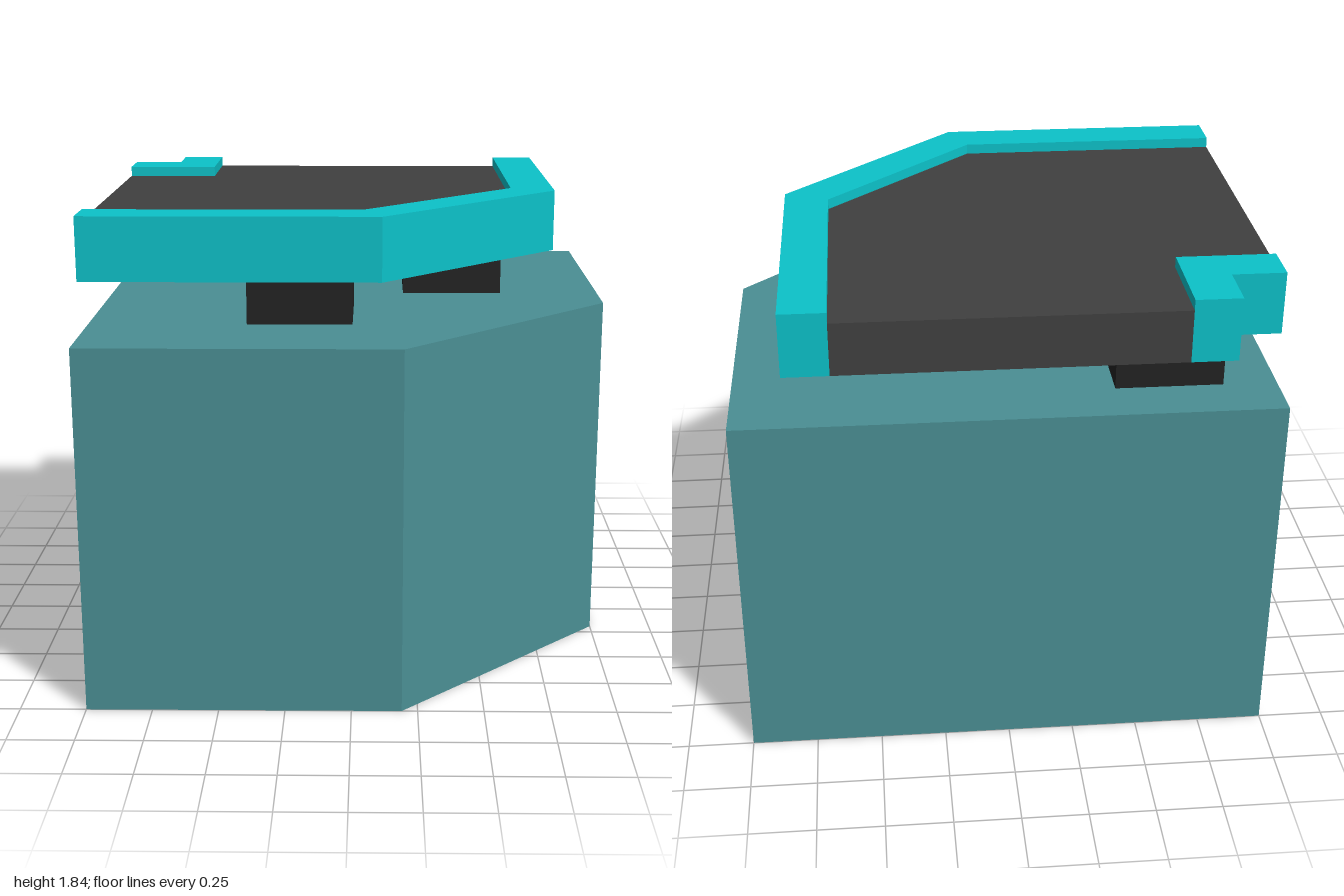
import * as THREE from 'three';

const material = (name, color) => {
  const m = new THREE.MeshStandardMaterial({ color, side: THREE.DoubleSide });
  m.name = name;
  return m;
};

// Vertical sheet along a path of [x, z] points, facing right of travel
function wall(path, y0, y1) {
  const pos = [];
  for (let i = 0; i + 1 < path.length; i++) {
    const [ax, az] = path[i], [bx, bz] = path[i + 1];
    pos.push(ax, y0, az, bx, y0, bz, bx, y1, bz, ax, y0, az, bx, y1, bz, ax, y1, az);
  }
  const g = new THREE.BufferGeometry();
  g.setAttribute('position', new THREE.Float32BufferAttribute(pos, 3));
  g.computeVertexNormals();
  return g;
}

// Horizontal sheet with an outline of [x, z] points, facing up
function sheet(outline, y) {
  const shape = new THREE.Shape(outline.map(([x, z]) => new THREE.Vector2(x, -z)));
  return new THREE.ShapeGeometry(shape).rotateX(-Math.PI / 2).translate(0, y, 0);
}

export function createModel() {
  const model = new THREE.Group();
  model.name = 'cornerCounter';
  const teal = material('mutedTeal', 0x4a8f94);
  const cyan = material('brightCyan', 0x0cc2c9);
  const grey = material('darkGrey', 0x404040);
  const black = material('nearBlack', 0x222222);

  const add = (name, mat, ...geometries) => {
    const part = new THREE.Group();
    part.name = name;
    geometries.forEach((g, i) => {
      const mesh = new THREE.Mesh(g, mat);
      mesh.name = `${name}Surface${i + 1}`;
      part.add(mesh);
    });
    model.add(part);
  };

  // Cabinet shell, open underneath and on the -x side
  const cabinet = [[-1, 1], [0.19, 1], [1, 0.19], [1, -1], [-1, -1]];
  add('cabinet', teal, wall(cabinet, 0, 1.4), sheet(cabinet, 1.4));

  // Short supports
  for (const [x, z] of [[-0.8, -0.8], [-0.4, 0.2], [0.2, -0.4]]) {
    const X = x + 0.4, Z = z + 0.4;
    add('support', black, wall([[x, Z], [X, Z], [X, z], [x, z], [x, Z]], 1.4, 1.8));
  }

  // Worktop inside the rims, with its back edge
  const rimInner = [[0.63, -1], [0.63, 0.04], [0.04, 0.63], [-1, 0.63]];
  const cornerInner = [[-1, -0.63], [-0.63, -0.63], [-0.63, -1]];
  add('worktop', grey,
    sheet([...rimInner, ...cornerInner], 1.8),
    wall([[0.63, -1], [-0.63, -1]], 1.6, 1.8));

  // Front rim around the chamfered edge
  const rimOuter = [[-1, 0.8], [0.11, 0.8], [0.8, 0.11], [0.8, -1], [0.63, -1]];
  add('frontRim', cyan,
    wall(rimOuter, 1.6, 1.84),
    wall(rimInner, 1.8, 1.84),
    sheet([...rimOuter, ...rimInner.slice(1)], 1.84));

  // L-shaped rim at the inner corner
  const cornerOuter = [[-0.63, -1], [-0.8, -1], [-0.8, -0.8], [-1, -0.8]];
  add('cornerRim', cyan,
    wall(cornerOuter, 1.6, 1.84),
    wall(cornerInner, 1.8, 1.84),
    sheet([...cornerOuter, ...cornerInner.slice(0, 2)], 1.84));

  return model;
}
